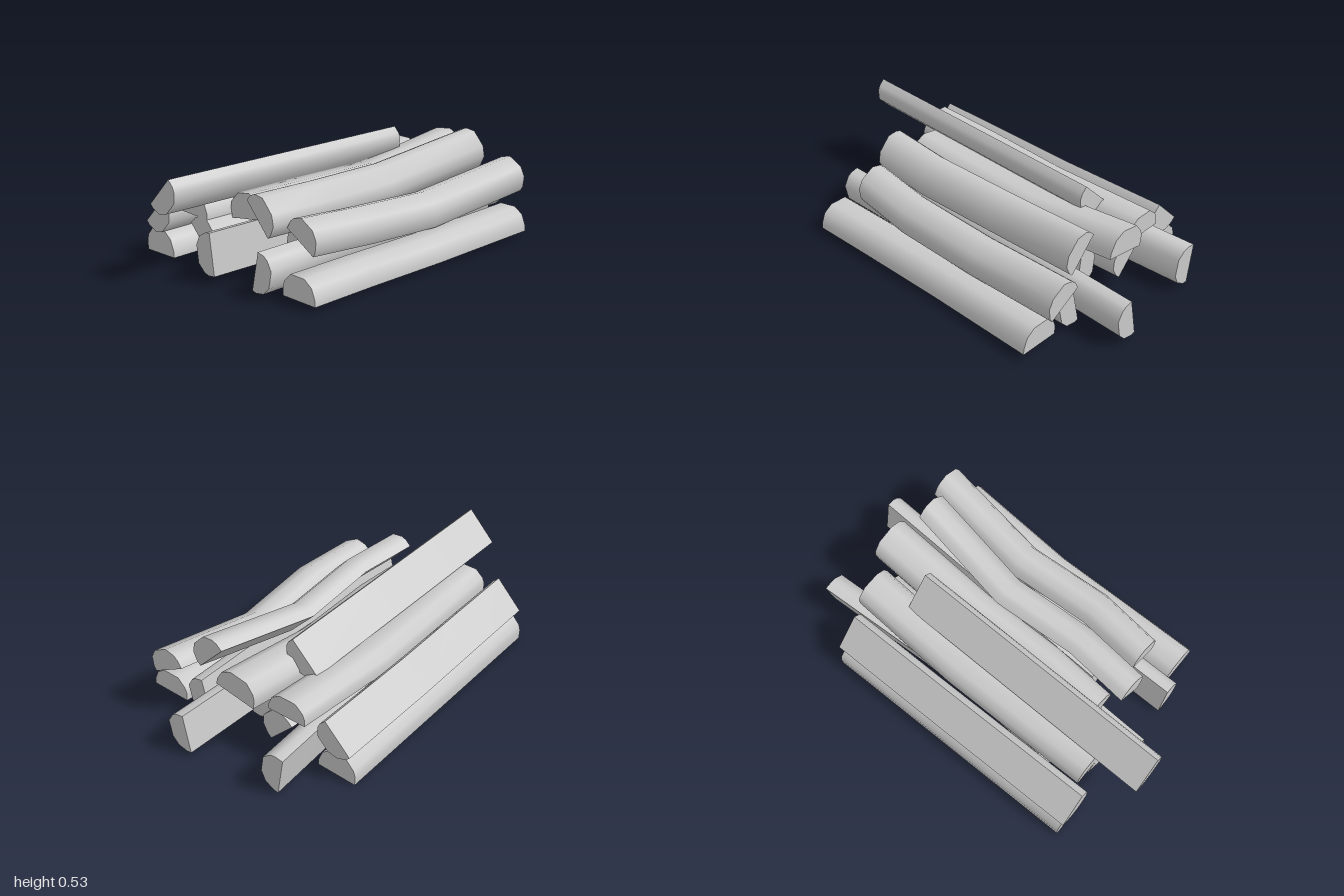
import * as THREE from 'three';
import { toCreasedNormals } from 'three/addons/utils/BufferGeometryUtils.js';

// Half-round outline shared by all logs: along the split face, then out to the bark
const OUTLINE = [[0, 0], [1, 0], [1, 0.25], [0.9, 0.72], [0.68, 1], [0.25, 1], [0.05, 0.65], [0, 0.4]];
const KNEES = [0, 0.25, 0.58, 1];

// A split log. a to b is the split face at the front end, with the bark on its left;
// end is the sideways shift of the back end, bend is [x, x, y] at the two knees.
function logGeometry(a, b, depth, [front, back], end, [bend1, bend2, sag] = [0, 0, 0]) {
  const start = new THREE.Vector2(...a);
  const along = new THREE.Vector2(...b).sub(start);
  const out = new THREE.Vector2(-along.y, along.x).setLength(depth);
  const n = OUTLINE.length;
  const positions = [], index = [];

  // cross-sections
  KNEES.forEach((t, s) => {
    const dx = t * end[0] + [0, bend1, bend2, 0][s];
    const dy = t * end[1] + [0, 0.3, 1, 0][s] * sag;
    for (const [u, v] of OUTLINE) {
      const p = start.clone().addScaledVector(along, u).addScaledVector(out, v);
      positions.push(p.x + dx, p.y + dy, THREE.MathUtils.lerp(front, back, t));
    }
  });

  // sides
  const last = (KNEES.length - 1) * n;
  for (let s = 0; s < last; s += n) {
    for (let i = 0; i < n; i++) {
      const p = s + i, q = s + (i + 1) % n;
      index.push(p, p + n, q + n, p, q + n, q);
    }
  }
  // sawn ends
  for (let i = 1; i < n - 1; i++) {
    index.push(0, i, i + 1, last, last + i + 1, last + i);
  }

  const geometry = new THREE.BufferGeometry();
  geometry.setAttribute('position', new THREE.Float32BufferAttribute(positions, 3));
  geometry.setIndex(index);
  return toCreasedNormals(geometry, 0.95);
}

export function createModel() {
  const model = new THREE.Group();
  model.name = 'firewoodPile';
  const wood = new THREE.MeshStandardMaterial({ color: 0xcccccc });
  const addLog = (name, ...shape) => {
    const log = new THREE.Mesh(logGeometry(...shape), wood);
    log.name = name;
    model.add(log);
  };

  // bottom row, from the model's right to its left
  addLog('bottomLog1', [-0.62, 0], [-0.4, 0.01], 0.13, [0.79, -0.67], [0, 0]);
  addLog('bottomLog2', [-0.405, 0.225], [-0.37, 0.01], 0.113, [0.53, -0.94], [-0.005, 0], [0.02, 0.027, 0]);
  addLog('bottomLog3', [-0.315, 0.21], [-0.18, 0.07], 0.12, [0.74, -0.7], [0.05, -0.02], [0, 0, -0.048]);
  addLog('bottomLog4', [0.012, 0.045], [-0.018, 0.26], 0.113, [0.86, -0.6], [0.065, 0]);
  addLog('bottomLog5', [0.09, 0.225], [0.05, 0.015], 0.107, [0.45, -1], [0.073, 0.01]);
  addLog('bottomLog6', [0.265, 0.225], [0.22, 0.02], 0.107, [0.8, -0.74], [0.015, 0.005]);
  addLog('bottomLog7', [0.365, 0.02], [0.585, 0.025], 0.12, [0.735, -0.735], [0.035, 0.015], [-0.01, -0.023, -0.018]);

  // second row
  addLog('middleLog1', [-0.455, 0.315], [-0.6, 0.165], 0.112, [0.805, -0.685], [0, 0.005], [0, 0, -0.01]);
  addLog('middleLog2', [-0.405, 0.255], [-0.185, 0.255], 0.11, [0.74, -0.73], [0.037, 0.015], [-0.008, -0.015, -0.03]);
  addLog('middleLog3', [-0.175, 0.235], [0.055, 0.275], 0.13, [0.59, -0.815], [0.048, 0.075], [0.015, 0.003, -0.05]);
  addLog('middleLog4', [0.03, 0.395], [0.18, 0.235], 0.108, [0.665, -0.735], [0.105, 0.083], [0.01, -0.043, -0.058]);
  addLog('middleLog5', [0.235, 0.285], [0.415, 0.185], 0.112, [0.59, -0.815], [0.102, 0.037], [0.02, -0.028, -0.066]);

  // top
  addLog('topLog', [-0.135, 0.53], [-0.285, 0.375], 0.105, [1, -0.49], [0.032, -0.015]);
  return model;
}
